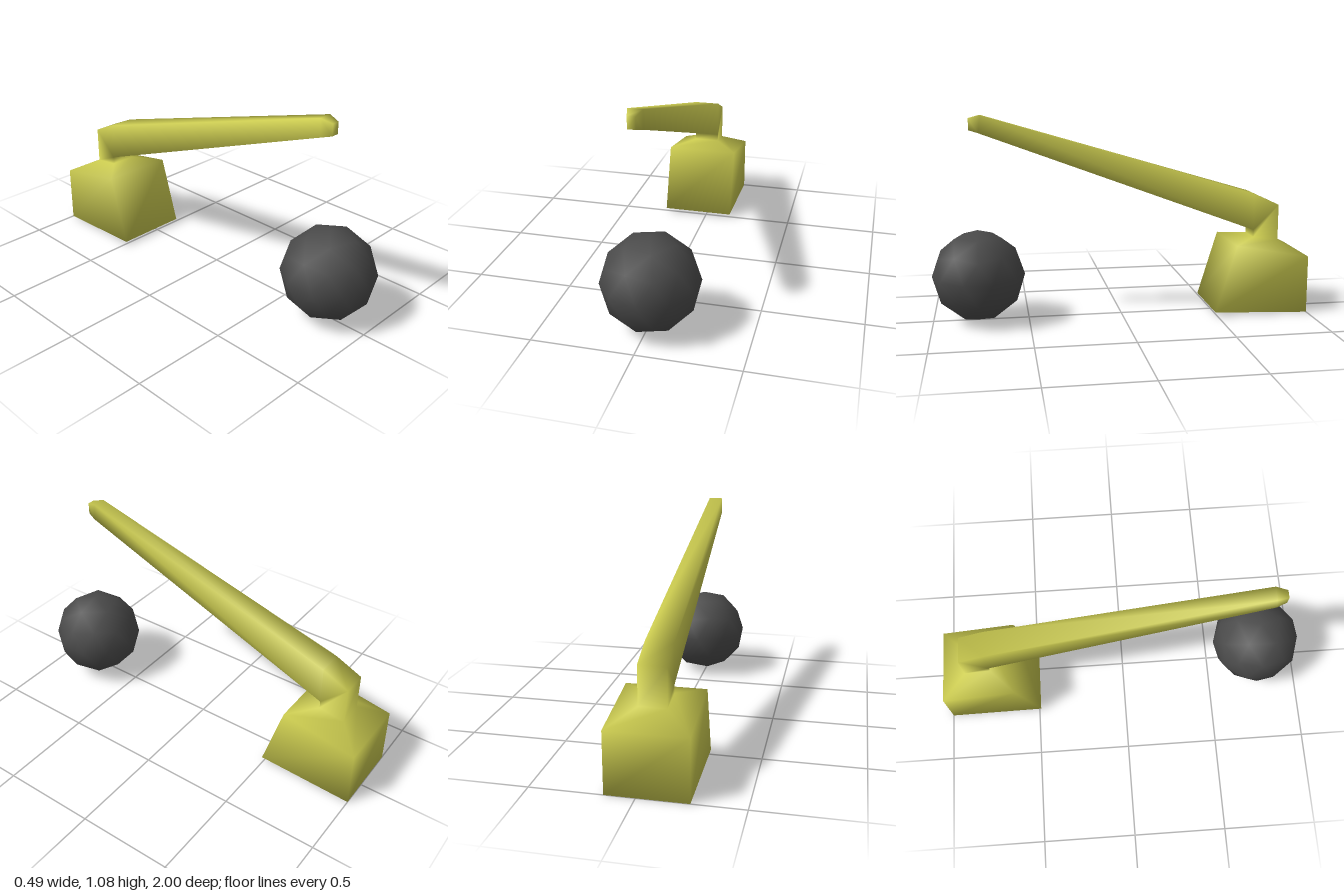
import * as THREE from 'three';
import { mergeVertices } from 'three/addons/utils/BufferGeometryUtils.js';

const CENTRE_X = -0.05;

// Each section is a four-cornered loop: half width, front [z, y], back [z, y]
function loft(sections) {
  const pos = [], idx = [];
  for (const [w, [fz, fy], [bz, by]] of sections) {
    pos.push(CENTRE_X - w, fy, fz, CENTRE_X + w, fy, fz);
    pos.push(CENTRE_X + w, by, bz, CENTRE_X - w, by, bz);
  }
  for (let s = 0; s < sections.length - 1; s++) {
    for (let i = 0; i < 4; i++) {
      const a = s * 4 + i, b = s * 4 + (i + 1) % 4;
      idx.push(a, b, b + 4, a, b + 4, a + 4);
    }
  }
  const t = (sections.length - 1) * 4;
  idx.push(0, 2, 1, 0, 3, 2, t, t + 1, t + 2, t, t + 2, t + 3);
  const geo = new THREE.BufferGeometry();
  geo.setAttribute('position', new THREE.Float32BufferAttribute(pos, 3));
  geo.setIndex(idx);
  // Weld the shared elbow corners so the shading runs smoothly
  const welded = mergeVertices(geo, 1e-4);
  welded.computeVertexNormals();
  return welded;
}

// Faceted ball: a once-divided icosahedron with its poles on the y axis
function ballGeometry(radius) {
  const v = [0, 1, 0], f = [];
  const h = 1 / Math.sqrt(5), r = 2 * h;
  for (let k = 0; k < 10; k++) {
    const a = k * Math.PI / 5;
    v.push(r * Math.cos(a), k % 2 ? -h : h, -r * Math.sin(a));
  }
  v.push(0, -1, 0);
  for (let k = 0; k < 10; k++) {
    const a = 1 + k, b = 1 + (k + 1) % 10, c = 1 + (k + 2) % 10;
    if (k % 2 === 0) f.push(0, a, c, a, b, c);
    else f.push(11, c, a, a, c, b);
  }
  return new THREE.PolyhedronGeometry(v, f, radius, 1);
}

export function createModel() {
  const group = new THREE.Group();
  const add = (name, geo, color) => {
    const mesh = new THREE.Mesh(geo, new THREE.MeshStandardMaterial({ color }));
    mesh.name = name;
    group.add(mesh);
    return mesh;
  };

  // Cabin, post and boom in one continuous skin
  add('cabinAndBoom', loft([
    [0.197, [-0.49, 0.02], [-1, 0]],          // cabin floor
    [0.197, [-0.6, 0.38], [-1, 0.31]],        // cabin roof edge
    [0.068, [-0.73, 0.4], [-0.87, 0.38]],     // post base
    [0.068, [-0.73, 0.44], [-0.87, 0.575]],   // post top
    [0.068, [-0.73, 0.44], [-0.73, 0.64]],    // elbow
    [0.036, [0.74, 0.985], [0.73, 1.075]],    // boom end
    [0.02, [0.79, 1.0], [0.79, 1.06]],        // bevelled tip
  ]), 0xcccc50);

  // Wrecking ball under the boom tip
  add('wreckingBall', ballGeometry(0.241), 0x4a4a4a).position.set(0.014, 0.245, 0.758);

  return group;
}
